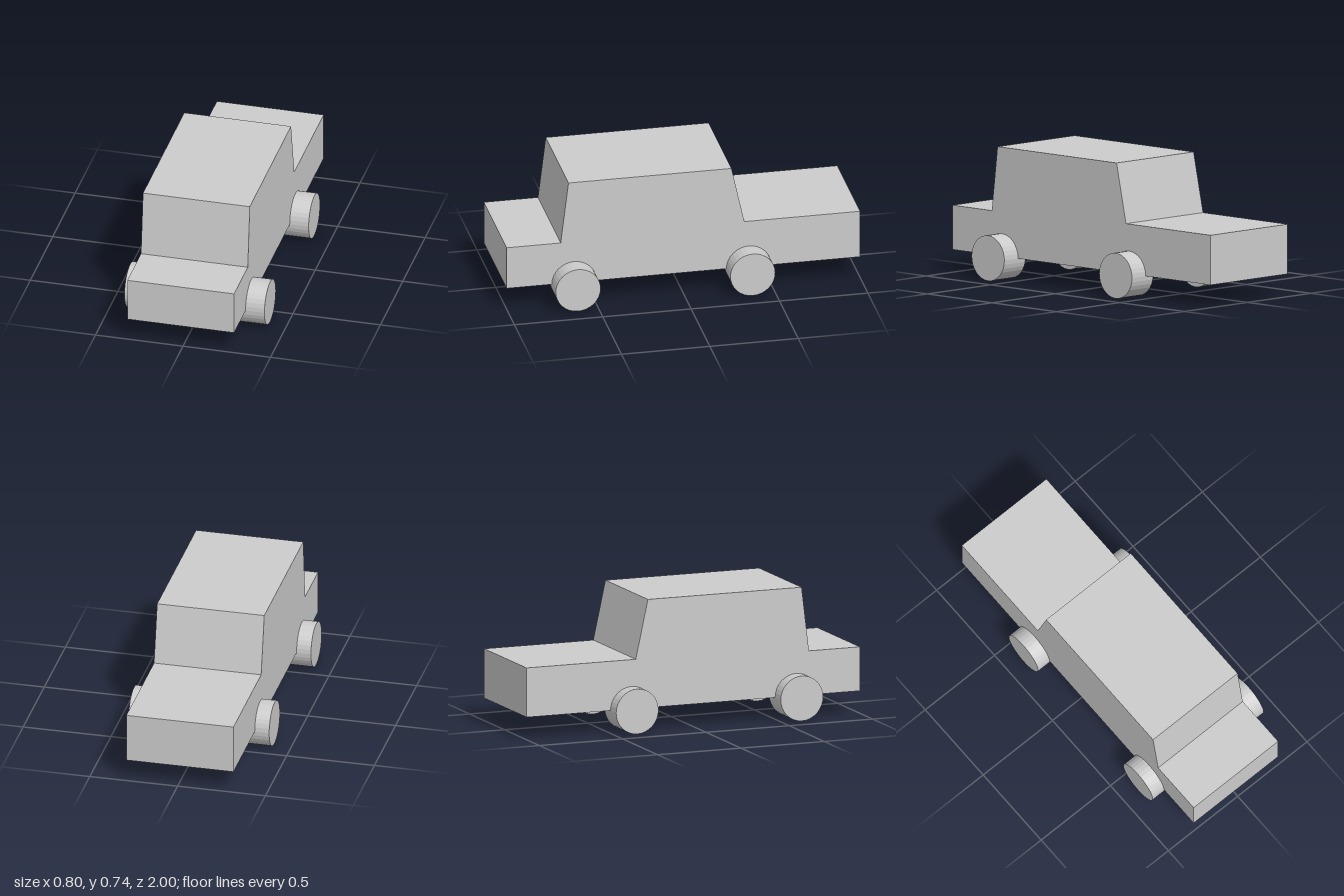
import * as THREE from 'three';

export function createModel() {
  const model = new THREE.Group();
  model.name = 'car';
  const material = new THREE.MeshStandardMaterial({ color: 0xcccccc, flatShading: true });

  // Body: side profile (z, y) extruded across the width
  const profile = [
    [1, 0.127], [1, 0.375], [0.694, 0.375], [0.65, 0.737],
    [-0.272, 0.737], [-0.345, 0.405], [-1, 0.405], [-1, 0.127],
  ].map(([z, y]) => new THREE.Vector2(z, y));
  const left = 0.292, right = -0.318;
  const bodyGeometry = new THREE.ExtrudeGeometry(new THREE.Shape(profile), {
    depth: left - right, bevelEnabled: false,
  });
  bodyGeometry.rotateY(-Math.PI / 2).translate(left, 0, 0);
  const body = new THREE.Mesh(bodyGeometry, material);
  body.name = 'body';
  model.add(body);

  // Wheels: four short cylinders lying along x
  const wheelGeometry = new THREE.CylinderGeometry(0.127, 0.127, 0.167, 32);
  wheelGeometry.rotateZ(Math.PI / 2);
  for (const [end, z] of [['front', 0.618], ['rear', -0.37]]) {
    for (const [side, sign] of [['Left', 1], ['Right', -1]]) {
      const wheel = new THREE.Mesh(wheelGeometry, material);
      wheel.name = `${end}${side}Wheel`;
      wheel.position.set(sign * 0.3165, 0.127, z);
      model.add(wheel);
    }
  }
  return model;
}
